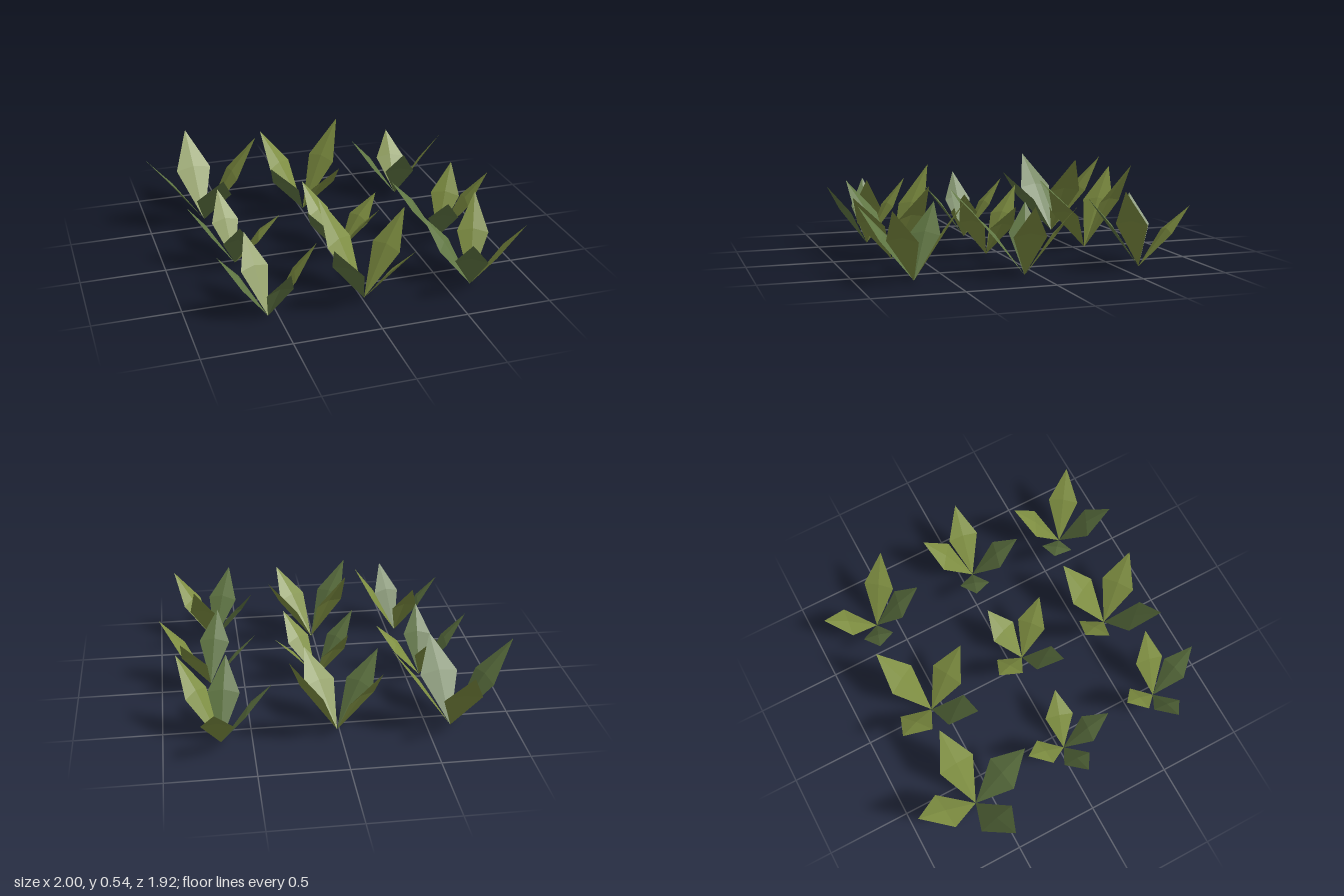
import * as THREE from 'three';

// One row per plant: root x, z, then for each of four leaves the tip x, z, height
const PLANTS = [
  [-0.64, -0.605, -0.67, -0.965, 0.485, -0.28, -0.63, 0.515, -0.58, -0.24, 0.415, -1.0, -0.525, 0.49],
  [0.013, -0.572, -0.2, -0.827, 0.475, 0.3, -0.748, 0.535, 0.166, -0.273, 0.39, -0.25, -0.37, 0.4],
  [0.678, -0.625, 0.716, -0.92, 0.34, 0.903, -0.433, 0.465, 0.62, -0.331, 0.4, 0.39, -0.695, 0.385],
  [-0.588, 0.03, -0.62, -0.237, 0.37, -0.325, 0.104, 0.315, -0.61, 0.3, 0.36, -0.86, 0.024, 0.4],
  [0.048, 0.083, -0.11, -0.157, 0.39, 0.315, -0.012, 0.32, 0.23, 0.3, 0.36, -0.194, 0.233, 0.37],
  [0.703, 0.074, 0.876, -0.162, 0.39, 0.995, 0.121, 0.42, 0.635, 0.364, 0.365, 0.427, -0.027, 0.365],
  [-0.555, 0.684, -0.616, 0.42, 0.4, -0.288, 0.733, 0.435, -0.49, 0.943, 0.38, -0.82, 0.651, 0.385],
  [0.013, 0.657, -0.173, 0.383, 0.53, 0.304, 0.503, 0.46, 0.214, 0.921, 0.4, -0.235, 0.872, 0.445],
  [0.652, 0.686, 0.775, 0.42, 0.455, 0.893, 0.857, 0.42, 0.528, 0.96, 0.4, 0.412, 0.506, 0.39],
];

const olive = new THREE.MeshStandardMaterial({ color: 0x7e8e41, side: THREE.DoubleSide, flatShading: true });
olive.name = 'olive leaf';
const green = new THREE.MeshStandardMaterial({ color: 0x607643, side: THREE.DoubleSide, flatShading: true });
green.name = 'cool green leaf';

// Kite-shaped leaf from the origin to its tip, arched outward along a raised midrib
function leafGeometry(dx, dz, h) {
  const t = 0.545, w = 0.31;
  const root = [0, 0, 0];
  const tip = [dx, h, dz];
  const rib = [dx * t, h * t + 0.03, dz * t];
  const sideA = [dx * t - dz * w, h * t + 0.01, dz * t + dx * w];
  const sideB = [dx * t + dz * w, h * t + 0.01, dz * t - dx * w];
  const faces = [root, rib, sideA, root, sideB, rib, rib, tip, sideA, rib, sideB, tip];
  const geometry = new THREE.BufferGeometry();
  geometry.setAttribute('position', new THREE.Float32BufferAttribute(faces.flat(), 3));
  geometry.computeVertexNormals();
  return geometry;
}

export function createModel() {
  const model = new THREE.Group();
  model.name = 'leafyPlants';
  for (const [x, z, ...tips] of PLANTS) {
    const plant = new THREE.Group();
    plant.name = 'plant';
    plant.position.set(x, 0, z);
    for (let i = 0; i < tips.length; i += 3) {
      const dx = tips[i] - x, dz = tips[i + 1] - z;
      // Leaves spreading to the front and to -x are the cooler green
      const cool = dz > 0 ? dx < 0.3 * dz : dx < dz;
      const leaf = new THREE.Mesh(leafGeometry(dx, dz, tips[i + 2]), cool ? green : olive);
      leaf.name = 'leaf';
      plant.add(leaf);
    }
    model.add(plant);
  }
  return model;
}
